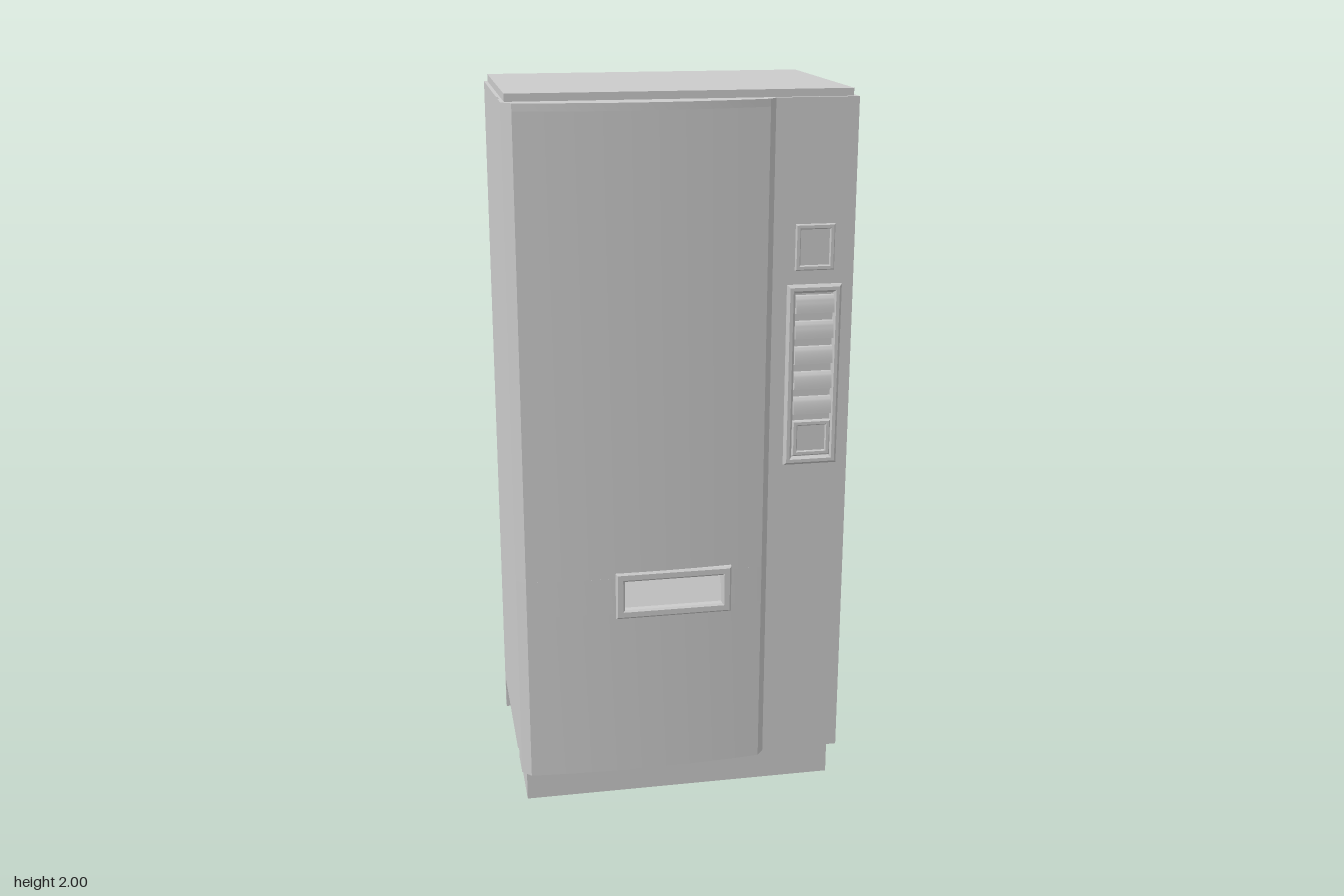
import * as THREE from 'three';
import { toCreasedNormals } from 'three/addons/utils/BufferGeometryUtils.js';

const mat = new THREE.MeshStandardMaterial({ color: 0xcccccc });
const V = (a, b) => new THREE.Vector2(a, b);

export function createModel() {
  const root = new THREE.Group();
  const add = (name, geo) => {
    const m = new THREE.Mesh(geo, mat);
    m.name = name;
    root.add(m);
    return m;
  };
  const box = (name, x0, x1, y0, y1, z0, z1) =>
    add(name, new THREE.BoxGeometry(x1 - x0, y1 - y0, z1 - z0)
      .translate((x0 + x1) / 2, (y0 + y1) / 2, (z0 + z1) / 2));
  const rect = (a0, a1, b0, b1) => [V(a0, b0), V(a1, b0), V(a1, b1), V(a0, b1)];
  const flip = (pts) => pts.map((p) => V(p.x, -p.y));

  // Plan outline of (x, z) points raised from y0 to y1
  const raise = (name, pts, y0, y1, hole) => {
    const s = new THREE.Shape(flip(pts));
    if (hole) s.holes.push(new THREE.Path(flip(hole)));
    const g = new THREE.ExtrudeGeometry(s, { depth: y1 - y0, bevelEnabled: false });
    g.rotateX(-Math.PI / 2).translate(0, y0, 0);
    return add(name, toCreasedNormals(g, 0.3));
  };
  // Side profile of (z, y) points swept from x0 to x1
  const sweepX = (name, pts, x0, x1) => {
    const s = new THREE.Shape(pts.map((p) => V(-p.x, p.y)));
    const g = new THREE.ExtrudeGeometry(s, { depth: x1 - x0, bevelEnabled: false });
    g.rotateY(Math.PI / 2).translate(x0, 0, 0);
    return add(name, toCreasedNormals(g, 0.6));
  };
  // Rectangular frame facing the front, with bevelled outer edge
  const frame = (name, x0, x1, y0, y1, z0, z1, w, bevel) => {
    const b = bevel, s = new THREE.Shape(rect(x0 + b, x1 - b, y0 + b, y1 - b));
    s.holes.push(new THREE.Path(rect(x0 + w, x1 - w, y0 + w, y1 - w)));
    const g = new THREE.ExtrudeGeometry(s, {
      depth: z1 - z0 - b, bevelEnabled: true, bevelSize: b, bevelThickness: b, bevelSegments: 1,
    });
    return add(name, g.translate(0, 0, z0));
  };

  // Gently bowed door front
  const bow = (x0, x1, rise) => {
    const pts = [];
    for (let i = 0; i <= 12; i++) {
      const x = x0 + ((x1 - x0) * i) / 12, t = (x + 0.115) / 0.33;
      pts.push(V(x, 0.3 + rise * (1 - t * t)));
    }
    return pts;
  };
  const outline = (front) => [
    V(-0.47, -0.335), V(-0.47, 0.135), V(-0.466, 0.14), V(-0.466, 0.18), V(-0.47, 0.185),
    V(-0.47, 0.275), ...front, V(0.235, 0.275), V(0.457, 0.275), V(0.457, -0.335),
  ];
  const door = outline(bow(-0.445, 0.215, 0.015));
  const notched = outline([
    ...bow(-0.445, -0.18, 0.015), V(-0.18, 0.235), V(0.105, 0.235), ...bow(0.105, 0.215, 0.015),
  ]);
  const hollow = rect(-0.44, 0.42, -0.32, 0.215);

  // Hollow cabinet, open underneath, with a notch for the delivery opening
  raise('cabinetLower', door, 0.1, 0.59, hollow);
  raise('cabinetOpening', notched, 0.59, 0.695, hollow);
  raise('cabinetUpper', door, 0.695, 1.98, hollow);
  raise('doorTopLip', [...bow(-0.445, 0.215, 0.035), V(0.215, 0.28), V(-0.445, 0.28)], 1.96, 1.98);
  box('topCap', -0.46, 0.445, 1.98, 2, -0.335, 0.262);
  box('sideStrip', 0.45, 0.467, 0.1, 1.98, 0.138, 0.182);

  // Hollow plinth and rear corner flanges reaching the ground
  raise('plinth', rect(-0.455, 0.435, -0.335, 0.255), 0, 0.1, rect(-0.44, 0.42, -0.32, 0.24));
  box('rearFlangeRight', -0.47, -0.455, 0, 0.1, -0.335, -0.318);
  box('rearFlangeLeft', 0.435, 0.455, 0, 0.1, -0.335, -0.318);

  // Delivery opening
  frame('deliveryFrame', -0.2, 0.125, 0.575, 0.71, 0.3, 0.322, 0.02, 0.005);
  sweepX('deliveryFlap', [V(0.305, 0.59), V(0.236, 0.695), V(0.23, 0.695), V(0.23, 0.59)], -0.18, 0.105);

  // Display window above the selector
  frame('displayFrame', 0.295, 0.402, 1.528, 1.652, 0.274, 0.282, 0.011, 0.003);
  box('displayPane', 0.306, 0.391, 1.539, 1.641, 0.27, 0.277);

  // Selector panel with five curved buttons and a square key
  frame('selectorFrame', 0.275, 0.425, 0.985, 1.49, 0.272, 0.287, 0.016, 0.007);
  box('selectorBack', 0.289, 0.411, 0.999, 1.476, 0.27, 0.278);
  for (let i = 0; i < 5; i++) {
    const y = 1.41 - i * 0.0705, pts = [V(0.274, y + 0.052), V(0.274, y)];
    for (let k = 0; k <= 8; k++) {
      const a = (k / 8) * Math.PI / 2;
      pts.push(V(0.278 + 0.014 * Math.cos(a), y + 0.004 + 0.048 * Math.sin(a)));
    }
    sweepX('selectorButton' + (i + 1), pts, 0.298, 0.403);
  }
  frame('squareKeyFrame', 0.297, 0.403, 1.012, 1.112, 0.274, 0.29, 0.011, 0.003);
  box('squareKey', 0.308, 0.392, 1.023, 1.101, 0.27, 0.285);

  return root;
}
